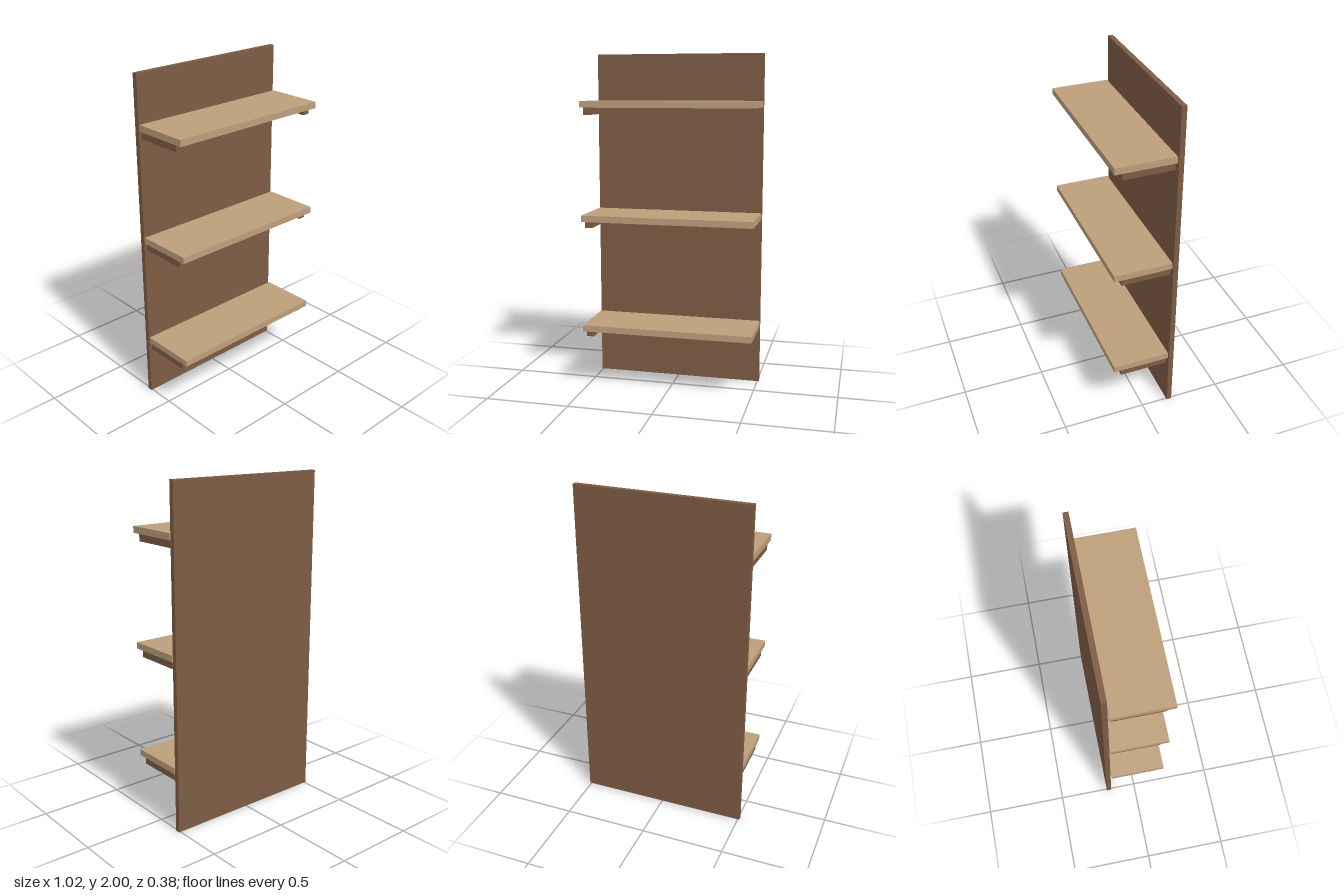
import * as THREE from 'three';

export function createModel() {
  const model = new THREE.Group();
  model.name = 'wallShelf';

  const darkWood = new THREE.MeshStandardMaterial({ color: 0x7e5c44 });
  darkWood.name = 'darkWood';
  const lightWood = new THREE.MeshStandardMaterial({ color: 0xbd9f7b });
  lightWood.name = 'lightWood';

  // Box given by its extents along each axis
  function addBox(parent, name, material, [x0, x1], [y0, y1], [z0, z1]) {
    const mesh = new THREE.Mesh(new THREE.BoxGeometry(x1 - x0, y1 - y0, z1 - z0), material);
    mesh.position.set((x0 + x1) / 2, (y0 + y1) / 2, (z0 + z1) / 2);
    mesh.name = name;
    parent.add(mesh);
  }

  // Tall back panel
  addBox(model, 'backPanel', darkWood, [-0.51, 0.51], [0, 2], [-0.19, -0.16]);

  // Three shelves, each on two side cleats and a rear cleat
  for (let i = 0; i < 3; i++) {
    const shelf = new THREE.Group();
    shelf.name = 'shelf' + (i + 1);
    shelf.position.y = 0.352 + i * 0.667;
    addBox(shelf, 'shelfBoard', lightWood, [-0.51, 0.51], [0, 0.038], [-0.153, 0.19]);
    addBox(shelf, 'leftCleat', darkWood, [0.458, 0.502], [-0.042, 0], [-0.145, 0.145]);
    addBox(shelf, 'rightCleat', darkWood, [-0.502, -0.458], [-0.042, 0], [-0.145, 0.145]);
    addBox(shelf, 'rearCleat', darkWood, [-0.458, 0.458], [-0.042, 0], [-0.145, -0.1]);
    model.add(shelf);
  }

  return model;
}
